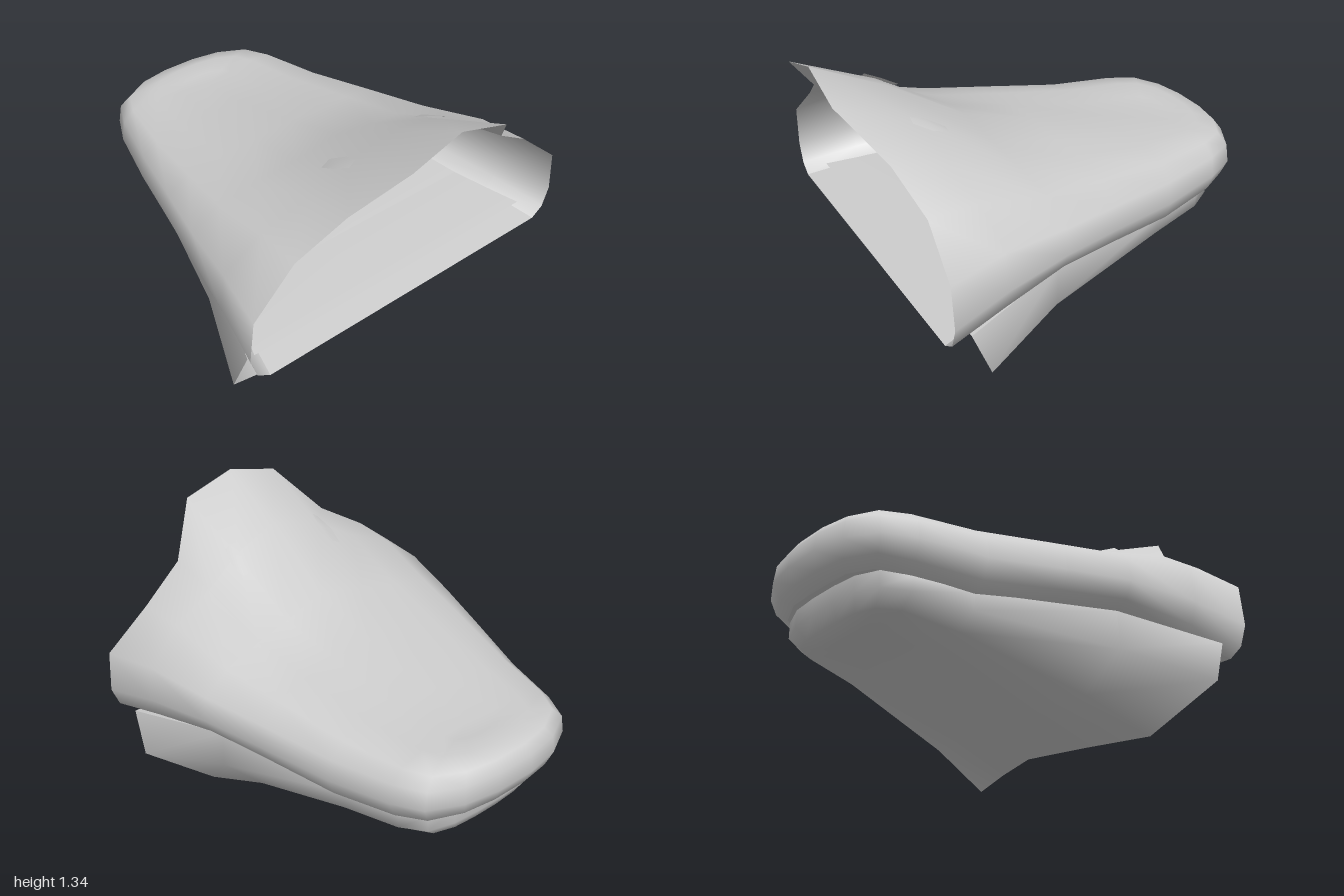
import * as THREE from 'three';
import { mergeVertices } from 'three/addons/utils/BufferGeometryUtils.js';

const lerp = THREE.MathUtils.lerp;

// Smooth skin over a list of columns, each an equal-length list of [x, y, z]
function skin(columns) {
  const n = columns[0].length, index = [];
  for (let c = 0; c < columns.length - 1; c++) {
    for (let r = 0; r < n - 1; r++) {
      const a = c * n + r, b = a + n;
      index.push(a, a + 1, b, b, a + 1, b + 1);
    }
  }
  const g = new THREE.BufferGeometry();
  g.setAttribute('position', new THREE.Float32BufferAttribute(columns.flat(2), 3));
  g.setIndex(index);
  const merged = mergeVertices(g, 1e-4);
  merged.computeVertexNormals();
  return merged;
}

// Jaw shell: one side's columns plus their mirror, wrapping around the nose
function shell(columns) {
  const other = columns.map(col => col.map(([x, y, z]) => [-x, y, z])).reverse();
  return skin([...columns, ...other]);
}

// Sheet spanning the mouth from rim to rim
function rimSheet(columns) {
  return skin(columns.map(([[x, y, z]]) => [[x, y, z], [-x, y, z]]));
}

// Blend of profile keys at a fractional key number t
function blend(keys, t, row) {
  const i = Math.min(Math.floor(t), keys.length - 2);
  return lerp(keys[i][row], keys[i + 1][row], t - i);
}

// Column from the outline point in to the centre line:
// reach = fraction of the way out, rise = fraction from rim height to centre height,
// inset = lip curl, shift = z offsets that shape the open front edge
function column([ox, oz, cz, rimY, centreY, t], { reach, rise, inset, shift }) {
  const len = Math.hypot(ox, oz - cz);
  return reach[0].map((_, r) => {
    const f = blend(reach, t, r) - (inset[r] || 0) / len;
    const z = cz + (oz - cz) * f + (t === 0 ? shift[r] : 0);
    return [ox * f, lerp(rimY, centreY, blend(rise, t, r)), z];
  });
}

const upperProfile = {
  reach: [
    [1, 1, 1, 0.98, 0.74, 0.49, 0.29, 0],
    [1, 1, 1, 0.98, 0.8, 0.55, 0.3, 0],
    [1, 1, 1, 0.97, 0.86, 0.6, 0.3, 0]],
  rise: [
    [0, 0.04, 0.14, 0.35, 0.54, 0.69, 0.92, 1],
    [0, 0.07, 0.24, 0.5, 0.7, 0.8, 0.88, 1],
    [0, 0.15, 0.45, 0.78, 0.97, 1.05, 1.01, 1]],
  inset: [0.1, 0.035],
  shift: [-0.02, -0.008, 0, 0, -0.06, -0.06, 0.06, 0],
};

// outline x, outline z, centre z, rim y, centre y, profile key
const upperStations = [
  [0.9, 0.8, 1, 0.39, 1.34, 0],
  [0.84, 0.53, 0.66, 0.44, 1.18, 0.5],
  [0.76, 0.2, 0.29, 0.5, 0.955, 1],
  [0.675, -0.1, -0.04, 0.475, 0.86, 1.35],
  [0.575, -0.45, -0.45, 0.44, 0.77, 1.75],
  [0.49, -0.75, -0.7, 0.465, 0.745, 2],
  [0.42, -0.89, -0.7, 0.485, 0.745, 2],
  [0.27, -0.97, -0.7, 0.495, 0.745, 2],
  [0.1, -1, -0.7, 0.495, 0.745, 2]];

const lowerProfile = {
  reach: [[1, 1.02, 0.68, 0.33, 0], [1, 1, 0.82, 0.4, 0]],
  rise: [[0, 0.48, 0.98, 0.99, 1], [0, 0.45, 0.82, 0.96, 1]],
  inset: [],
  shift: [0, -0.09, -0.085, -0.05, 0],
};

const lowerStations = [
  [0.84, 0.7, 0.28, 0.425, 0, 0],
  [0.67, 0.2, 0, 0.495, 0.1, 0.5],
  [0.48, -0.45, -0.48, 0.45, 0.27, 0.9],
  [0.41, -0.72, -0.68, 0.465, 0.31, 1],
  [0.34, -0.83, -0.68, 0.485, 0.31, 1],
  [0.22, -0.87, -0.68, 0.495, 0.31, 1],
  [0.08, -0.88, -0.68, 0.495, 0.31, 1]];

// Thin six-sided plate laid on the snout surface
function nostrilGeometry(surface, side) {
  const outline = [[0, 0], [-0.02, -0.08], [0.025, -0.08], [0.035, 0],
    [0.015, 0.08], [-0.015, 0.08], [-0.033, 0.01]];
  const ray = new THREE.Raycaster();
  const points = outline.map(([dx, dz]) => {
    const x = side * (0.265 + dx), z = 0.59 + dz;
    ray.set(new THREE.Vector3(x, 3, z), new THREE.Vector3(0, -1, 0));
    return [x, ray.intersectObject(surface)[0].point.y + 0.014, z];
  });
  const g = new THREE.BufferGeometry();
  g.setAttribute('position', new THREE.Float32BufferAttribute(points.flat(), 3));
  const index = [];
  for (let i = 1; i <= 6; i++) {
    const next = i % 6 + 1;
    index.push(...(side > 0 ? [0, next, i] : [0, i, next]));
  }
  g.setIndex(index);
  g.computeVertexNormals();
  return g;
}

export function createModel() {
  const group = new THREE.Group();
  group.name = 'snout';
  const grey = new THREE.MeshStandardMaterial({ color: 0xcccccc, side: THREE.DoubleSide });
  grey.name = 'light grey';
  const add = (name, geometry) => {
    const mesh = new THREE.Mesh(geometry, grey);
    mesh.name = name;
    group.add(mesh);
    return mesh;
  };

  const upperColumns = upperStations.map(s => column(s, upperProfile));
  const lowerColumns = lowerStations.map(s => column(s, lowerProfile));
  const upper = add('upperJaw', shell(upperColumns));
  add('palate', rimSheet(upperColumns));
  add('lowerJaw', shell(lowerColumns));
  add('mouthFloor', rimSheet(lowerColumns));
  add('leftNostril', nostrilGeometry(upper, 1));
  add('rightNostril', nostrilGeometry(upper, -1));
  return group;
}
